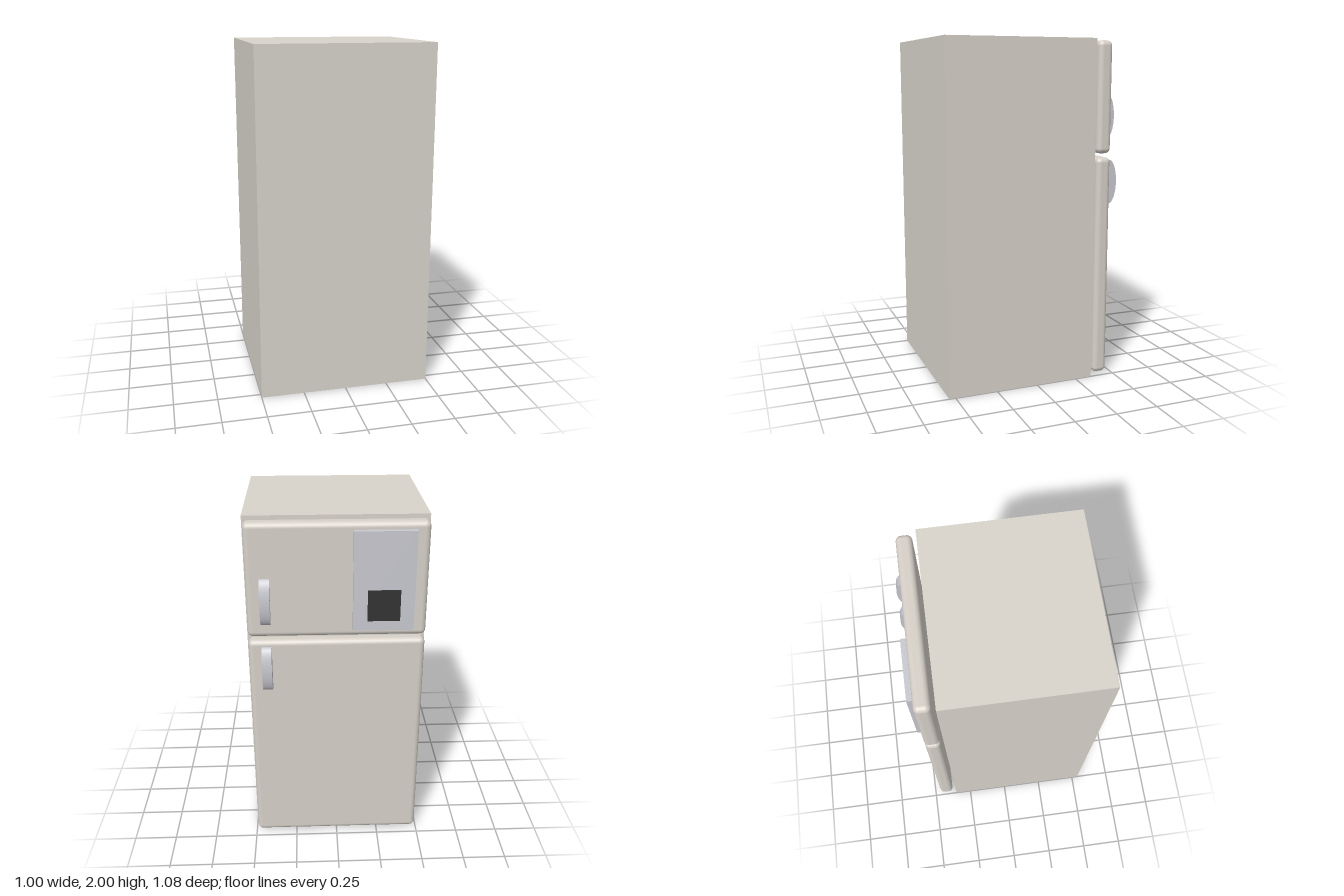
import * as THREE from 'three';
import { RoundedBoxGeometry } from 'three/addons/geometries/RoundedBoxGeometry.js';

const material = (color) => new THREE.MeshStandardMaterial({ color });

// Adds a mesh filling the given [min, max] ranges; a radius rounds its edges
function addBox(parent, name, mat, [x0, x1], [y0, y1], [z0, z1], radius = 0) {
  const size = [x1 - x0, y1 - y0, z1 - z0];
  const geometry = radius
    ? new RoundedBoxGeometry(...size, 5, radius)
    : new THREE.BoxGeometry(...size);
  const mesh = new THREE.Mesh(geometry, mat);
  mesh.name = name;
  mesh.position.set((x0 + x1) / 2, (y0 + y1) / 2, (z0 + z1) / 2);
  parent.add(mesh);
}

// Solid elliptical grip, its flat sides facing left and right
function addHandle(parent, name, mat, y, z) {
  const geometry = new THREE.CylinderGeometry(1, 1, 0.055, 48);
  geometry.rotateZ(Math.PI / 2);
  geometry.scale(1, 0.132, 0.05);
  const mesh = new THREE.Mesh(geometry, mat);
  mesh.name = name;
  mesh.position.set(0.388, y, z);
  parent.add(mesh);
}

export function createModel() {
  const model = new THREE.Group();
  model.name = 'refrigerator';
  const enamel = material(0xd8d4cb);
  const doorEnamel = material(0xd6d0c8);
  const metal = material(0xc8c8d0);
  const dark = material(0x333333);

  // Cabinet
  addBox(model, 'cabinet', enamel, [-0.5, 0.5], [0, 2], [-0.352, 0.538]);

  // Doors, standing just clear of the cabinet
  const doorX = [-0.49, 0.49];
  const doorZ = [-0.463, -0.375];
  addBox(model, 'freezerDoor', doorEnamel, doorX, [1.347, 1.99], doorZ, 0.03);
  addBox(model, 'fridgeDoor', doorEnamel, doorX, [0.013, 1.324], doorZ, 0.03);

  // Handles
  addHandle(model, 'freezerHandle', metal, 1.558, -0.465);
  addHandle(model, 'fridgeHandle', metal, 1.17, -0.49);

  // Ice and water dispenser on the freezer door
  addBox(model, 'dispenserPanel', metal, [-0.417, -0.085], [1.393, 1.95], [-0.492, -0.45]);
  addBox(model, 'dispenserOpening', dark, [-0.34, -0.163], [1.45, 1.627], [-0.497, -0.48]);

  return model;
}
